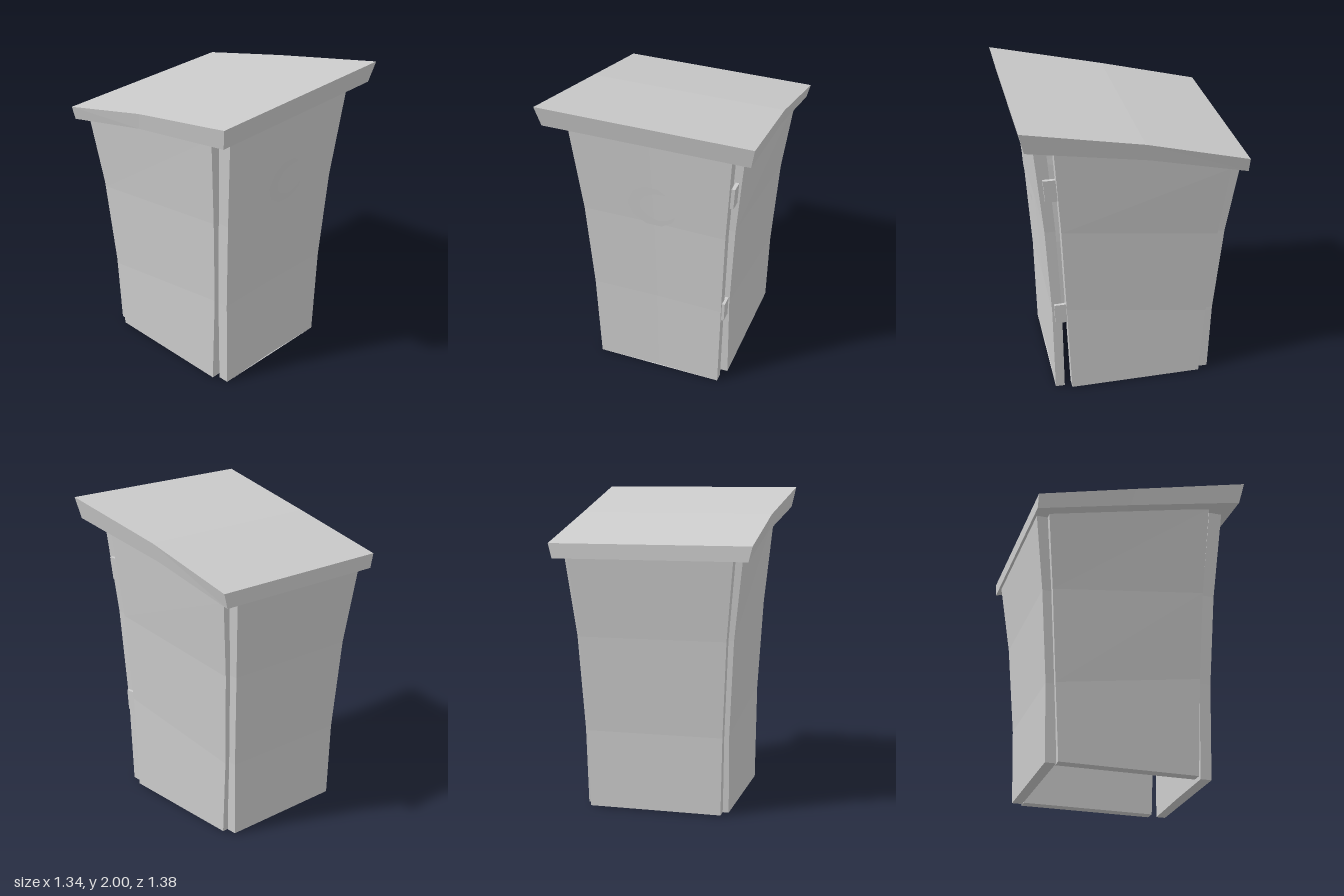
import * as THREE from 'three';

const material = new THREE.MeshStandardMaterial({ color: 0xcccccc, flatShading: true, side: THREE.DoubleSide });

// Closed solid through equal-sized rings, each counter-clockwise seen from the last ring's end
function loft(name, rings) {
  const pos = [];
  const tri = (a, b, c) => pos.push(...a, ...b, ...c);
  const n = rings[0].length;
  for (let r = 0; r < rings.length - 1; r++) {
    const a = rings[r], b = rings[r + 1];
    for (let i = 0; i < n; i++) {
      const j = (i + 1) % n;
      tri(a[i], a[j], b[j]);
      tri(a[i], b[j], b[i]);
    }
  }
  const first = rings[0], last = rings[rings.length - 1];
  for (let i = 1; i < n - 1; i++) {
    tri(first[0], first[i + 1], first[i]);
    tri(last[0], last[i], last[i + 1]);
  }
  const g = new THREE.BufferGeometry();
  g.setAttribute('position', new THREE.Float32BufferAttribute(pos, 3));
  g.computeVertexNormals();
  const mesh = new THREE.Mesh(g, material);
  mesh.name = name;
  return mesh;
}

export function createModel() {
  const group = new THREE.Group();
  group.name = 'outhouse';

  // Door: flares upward, slightly skewed on its hinges. Rows: y, half width, outer z, inner z
  const doorRows = [
    [0.005, 0.42, 0.49, 0.43],
    [0.62, 0.437, 0.5, 0.437],
    [1.23, 0.465, 0.535, 0.468],
    [1.835, 0.513, 0.595, 0.518],
  ];
  group.add(loft('door', doorRows.map(([y, w, zo, zi]) => [
    [-w, y, zo - 0.01], [0, y, zo - 0.012], [w, y, zo],
    [w, y, zi], [0, y, zi - 0.014], [-w, y, zi - 0.02],
  ])));

  // Side walls: rows slope down to the back. Rows: front y, back y, outer x, front z, back z
  const sideRows = [
    [0.01, 0.01, 0.457, 0.385, -0.483],
    [0.64, 0.5, 0.463, 0.41, -0.512],
    [1.23, 1.1, 0.497, 0.437, -0.553],
    [1.835, 1.59, 0.557, 0.48, -0.602],
  ];
  const t = 0.07;
  for (const [name, s] of [['leftWall', 1], ['rightWall', -1]]) {
    group.add(loft(name, sideRows.map(([yf, yb, x, zf, zb]) => {
      const ring = [
        [s * (x - t), yf, zf], [s * x, yf, zf],
        [s * x, yb, zb], [s * (x - t), yb, zb],
      ];
      return s > 0 ? ring : ring.reverse();
    })));
  }

  // Back wall. Rows: y, half width, inner z, outer z
  const backRows = [
    [0.01, 0.42, -0.487, -0.553],
    [0.5, 0.432, -0.505, -0.565],
    [1.1, 0.463, -0.543, -0.61],
    [1.59, 0.513, -0.6, -0.672],
  ];
  group.add(loft('backWall', backRows.map(([y, w, zi, zo]) => [
    [-w, y, zi], [w, y, zi], [w, y, zo], [-w, y, zo],
  ])));

  // Sloping roof. Sections: bottom z, y, half width; top z, y, half width
  const roofRows = [
    [-0.69, 1.585, 0.607, -0.69, 1.677, 0.63],
    [-0.08, 1.725, 0.607, -0.05, 1.84, 0.63],
    [0.66, 1.865, 0.643, 0.69, 2.0, 0.67],
  ];
  group.add(loft('roof', roofRows.map(([zb, yb, wb, zt, yt, wt]) => [
    [-wb, yb, zb], [wb, yb, zb], [wt, yt, zt], [-wt, yt, zt],
  ])));

  // Two hinges bridging the gap between door and left wall. y0, y1, x, x lean, z back, z lean
  for (const [name, y0, y1, x, dx, z, dz] of [
    ['lowerHinge', 0.54, 0.68, 0.43, 0.006, 0.408, 0.005],
    ['upperHinge', 1.46, 1.61, 0.485, 0.012, 0.455, 0.012],
  ]) {
    group.add(loft(name, [[y0, 0], [y1, 1]].map(([y, k]) => {
      const xa = x + dx * k, za = z + dz * k, xb = xa + 0.022, zb = za + 0.075;
      return [[xa, y, zb], [xb, y, zb], [xb, y, za], [xa, y, za]];
    })));
  }

  // Crescent moon sheet leaning with the door face
  const moon = [
    [0.1, 1.49], [0.05, 1.525], [-0.04, 1.525], [-0.11, 1.475], [-0.15, 1.38],
    [-0.12, 1.295], [-0.04, 1.235], [0.06, 1.235], [0.13, 1.28], [0.155, 1.33],
    [0.1, 1.29], [0.04, 1.275], [-0.03, 1.3], [-0.07, 1.345], [-0.075, 1.4],
    [-0.04, 1.455], [0.03, 1.485],
  ].map(([x, y]) => new THREE.Vector2(x, y));
  const moonGeo = new THREE.ShapeGeometry(new THREE.Shape(moon));
  const p = moonGeo.attributes.position;
  for (let i = 0; i < p.count; i++) p.setZ(i, 0.55 + (p.getY(i) - 1.235) * 0.115);
  moonGeo.computeVertexNormals();
  const moonMesh = new THREE.Mesh(moonGeo, material);
  moonMesh.name = 'crescentMoon';
  group.add(moonMesh);

  return group;
}
